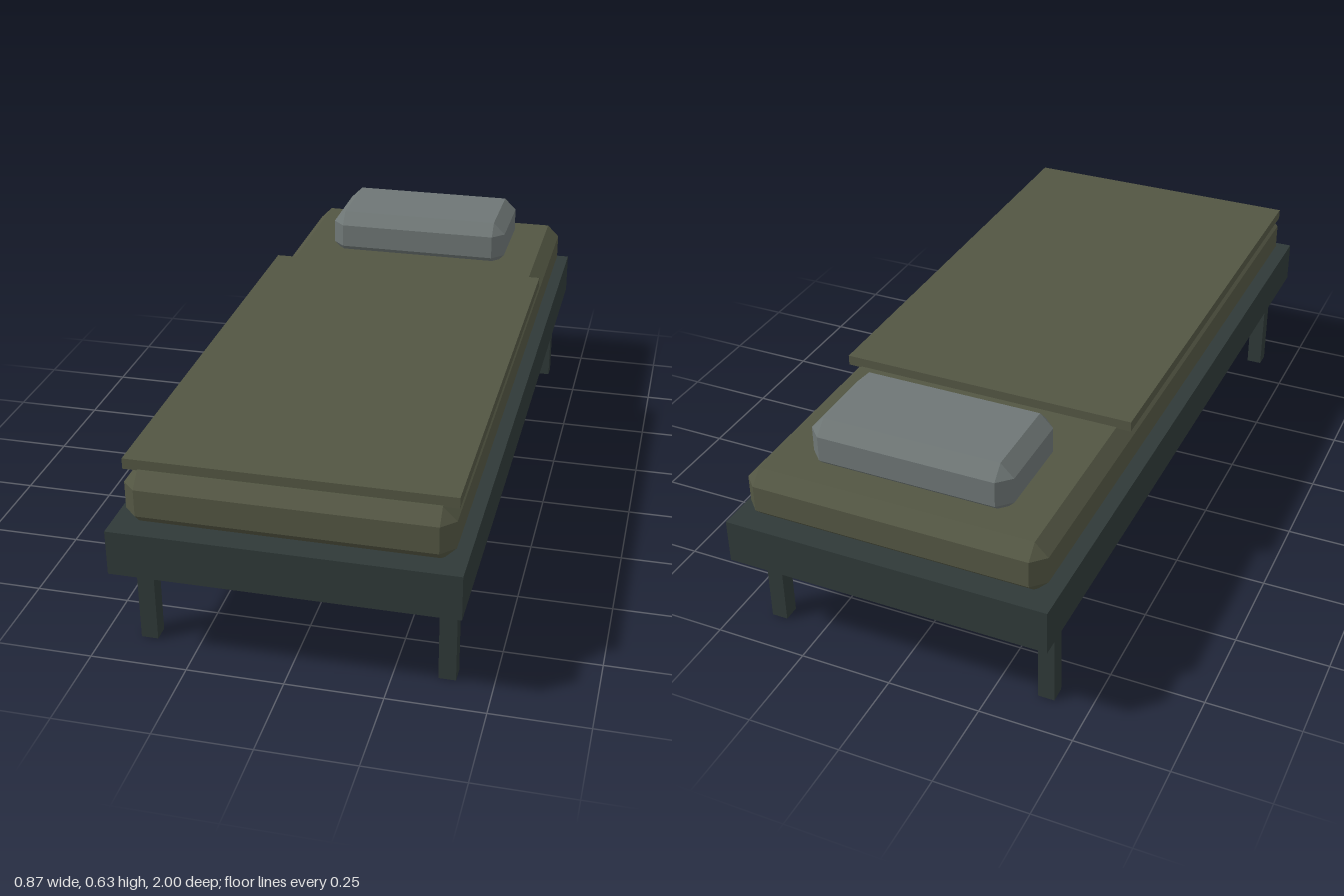
import * as THREE from 'three';
import { ConvexGeometry } from 'three/addons/geometries/ConvexGeometry.js';

const material = (name, color) => {
  const m = new THREE.MeshStandardMaterial({ color });
  m.name = name;
  return m;
};

// Box with every edge cut by one flat chamfer
function chamferedBox(w, h, d, c) {
  const points = [];
  for (const x of [-1, 1]) for (const y of [-1, 1]) for (const z of [-1, 1]) {
    for (let axis = 0; axis < 3; axis++) {
      const inset = [0, 1, 2].map((i) => (i === axis ? 0 : c));
      points.push(new THREE.Vector3(
        x * (w / 2 - inset[0]), y * (h / 2 - inset[1]), z * (d / 2 - inset[2])));
    }
  }
  return new ConvexGeometry(points);
}

export function createModel() {
  const group = new THREE.Group();
  group.name = 'bed';

  const frameGrey = material('dark frame grey', 0x2f3938);
  const olive = material('olive fabric', 0x535643);
  const pillowGrey = material('pillow grey', 0x6e7675);

  const add = (name, geometry, mat, x, y, z) => {
    const mesh = new THREE.Mesh(geometry, mat);
    mesh.name = name;
    mesh.position.set(x, y, z);
    group.add(mesh);
  };

  // Frame and four legs
  add('frame', new THREE.BoxGeometry(0.868, 0.119, 2), frameGrey, 0, 0.3145, 0);
  const leg = new THREE.BoxGeometry(0.044, 0.26, 0.044);
  for (const [side, x] of [['left', 0.384], ['right', -0.384]]) {
    for (const [end, z] of [['Front', 0.87], ['Back', -0.87]]) {
      add(`${side}${end}Leg`, leg, frameGrey, x, 0.13, z);
    }
  }

  // Bedding
  add('mattress', chamferedBox(0.81, 0.142, 1.92, 0.035), olive, 0, 0.437, 0);
  add('blanket', new THREE.BoxGeometry(0.818, 0.028, 1.33), olive, 0, 0.519, 0.255);
  add('pillow', chamferedBox(0.546, 0.139, 0.3, 0.035), pillowGrey, 0, 0.5575, -0.708);

  return group;
}
